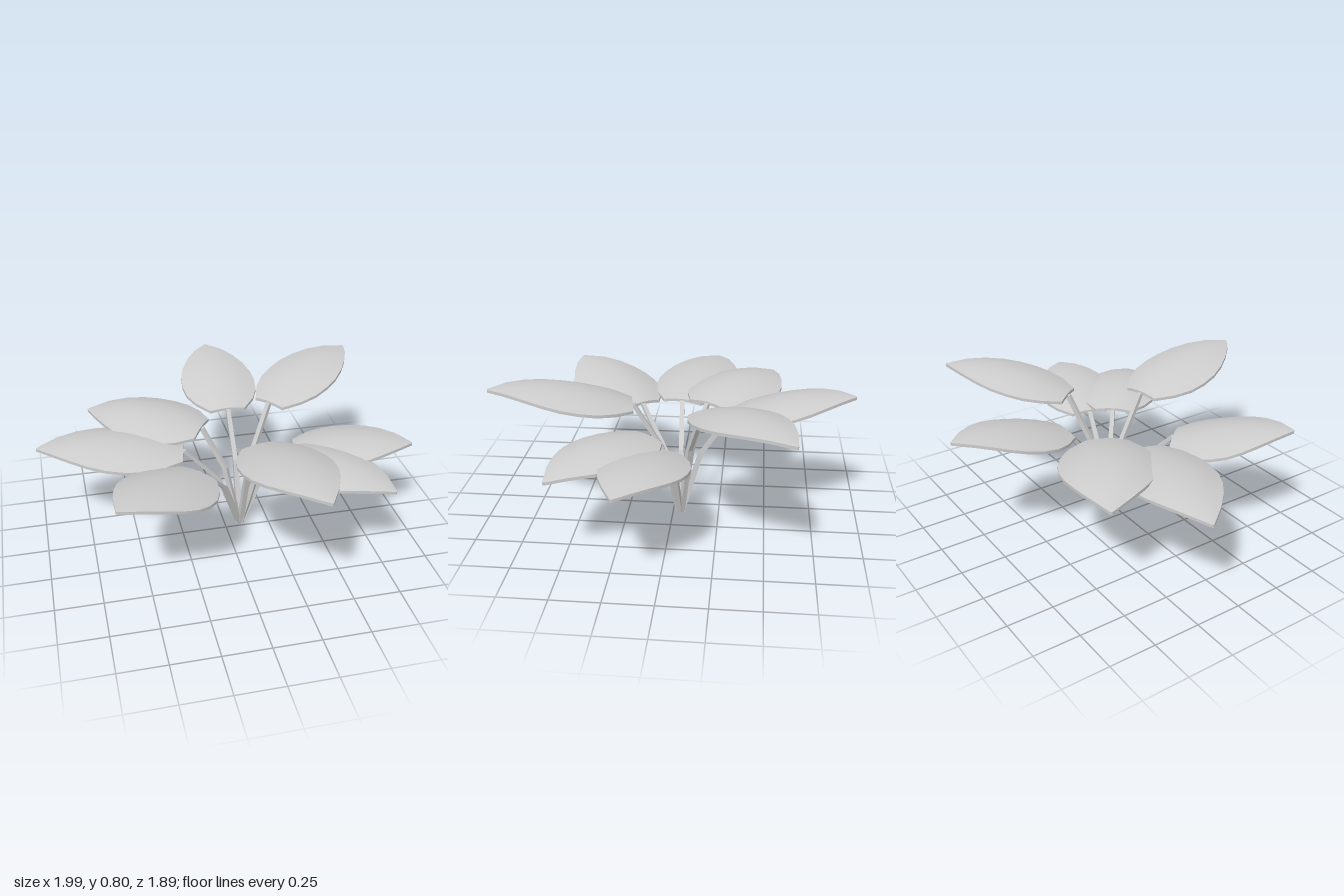
import * as THREE from 'three';

const ROOT = new THREE.Vector3(0.09, 0, -0.04);
const THICKNESS = 0.016;
// relative half width along the leaf, from stalk to tip
const OUTLINE = [0.46, 0.78, 0.95, 1, 0.97, 0.85, 0.65, 0.38, 0.02];

// base and tip are [x, y, z]; midY is the height of the arch, half the largest half width
const LEAVES = [
  { name: 'backLeaf', base: [0.08, 0.6, -0.31], midY: 0.7, tip: [0.08, 0.71, -0.95], half: 0.215 },
  { name: 'backLeftLeaf', base: [0.28, 0.69, -0.17], midY: 0.79, tip: [0.86, 0.77, -0.62], half: 0.2 },
  { name: 'leftLeaf', base: [0.37, 0.5, 0.02], midY: 0.57, tip: [0.99, 0.54, 0.19], half: 0.215 },
  { name: 'frontLeftLeaf', base: [0.26, 0.53, 0.11], midY: 0.57, tip: [0.76, 0.49, 0.55], half: 0.22 },
  { name: 'frontLeaf', base: [0.13, 0.66, 0.21], midY: 0.76, tip: [0.27, 0.755, 0.94], half: 0.225 },
  { name: 'frontRightLeaf', base: [-0.19, 0.53, 0.2], midY: 0.62, tip: [-0.66, 0.635, 0.62], half: 0.245 },
  { name: 'rightLeaf', base: [-0.23, 0.54, -0.02], midY: 0.6, tip: [-1, 0.545, -0.19], half: 0.235 },
  { name: 'backRightLeaf', base: [-0.1, 0.58, -0.17], midY: 0.635, tip: [-0.69, 0.57, -0.53], half: 0.25 },
];

// moves every vertex of a geometry by a rule
function reshape(geometry, rule) {
  const pos = geometry.attributes.position;
  const v = new THREE.Vector3();
  for (let i = 0; i < pos.count; i++) {
    v.fromBufferAttribute(pos, i);
    rule(v);
    pos.setXYZ(i, v.x, v.y, v.z);
  }
  return geometry;
}

// thin slab, arched along its length and drooping towards both edges
function leafGeometry({ base, midY, tip, half }) {
  const steps = OUTLINE.length - 1;
  const dx = tip[0] - base[0], dz = tip[2] - base[2];
  const length = Math.hypot(dx, dz);
  const geometry = reshape(new THREE.BoxGeometry(2, 1, 1, 6, 1, steps), (v) => {
    const t = v.z + 0.5;
    const side = v.x * half * OUTLINE[Math.round(t * steps)];
    const arch = base[1] * (1 - t) * (1 - 2 * t) + midY * 4 * t * (1 - t) + tip[1] * t * (2 * t - 1);
    const droop = 0.05 * (side / 0.22) ** 2;
    v.set(
      base[0] + dx * t + (dz / length) * side,
      arch - droop + (v.y - 0.5) * THICKNESS,
      base[2] + dz * t - (dx / length) * side,
    );
  });
  geometry.computeVertexNormals();
  return geometry;
}

// square stalk from the root, with one outward bend on the way to the leaf
function stalkGeometry({ base }) {
  const end = new THREE.Vector3(base[0], base[1] - 0.008, base[2]);
  const out = new THREE.Vector3(end.x - ROOT.x, 0, end.z - ROOT.z);
  const heading = Math.atan2(out.x, out.z);
  const start = ROOT.clone().addScaledVector(out.clone().normalize(), 0.008);
  const bend = ROOT.clone().addScaledVector(out, 0.4).setY(end.y * 0.6);
  const points = [start, bend, end];
  const bent = reshape(
    new THREE.CylinderGeometry(0.017, 0.021, 1, 4, 2).rotateY(Math.PI / 4 + heading),
    (v) => {
      const p = points[Math.round((v.y + 0.5) * 2)];
      v.set(p.x + v.x, p.y, p.z + v.z);
    },
  );
  const flat = bent.toNonIndexed();
  flat.computeVertexNormals();
  return flat;
}

export function createModel() {
  const plant = new THREE.Group();
  plant.name = 'plant';
  const paleGrey = new THREE.MeshStandardMaterial({ color: 0xcccccc });
  paleGrey.name = 'paleGrey';

  for (const leaf of LEAVES) {
    const blade = new THREE.Mesh(leafGeometry(leaf), paleGrey);
    blade.name = leaf.name;
    const stalk = new THREE.Mesh(stalkGeometry(leaf), paleGrey);
    stalk.name = leaf.name.replace('Leaf', 'Stalk');
    plant.add(blade, stalk);
  }
  return plant;
}
